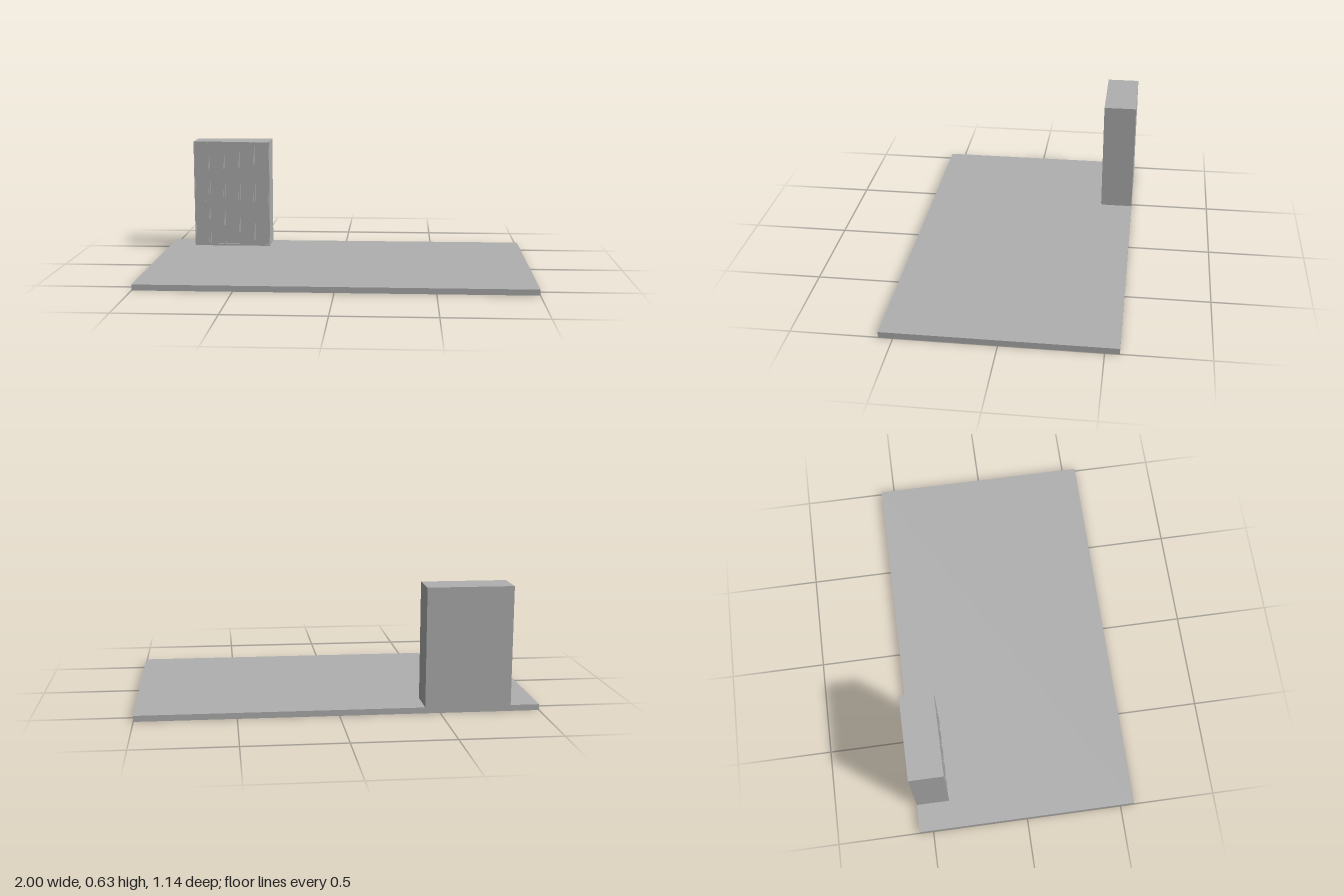
import * as THREE from 'three';

export function createModel() {
  const model = new THREE.Group();
  const grey = new THREE.MeshStandardMaterial({ color: 0xb0b0b0 });
  grey.name = 'plainGrey';

  // Box given by its lower and upper limits on each axis
  function box(parent, name, x0, x1, y0, y1, z0, z1) {
    const mesh = new THREE.Mesh(new THREE.BoxGeometry(x1 - x0, y1 - y0, z1 - z0), grey);
    mesh.name = name;
    mesh.position.set((x0 + x1) / 2, (y0 + y1) / 2, (z0 + z1) / 2);
    parent.add(mesh);
  }

  // Floor slab
  box(model, 'floor', -1, 1, 0, 0.03, -0.571, 0.571);

  // Row of five narrow lockers along the back edge
  const count = 5, left = -0.855, pitch = 0.086, wall = 0.004;
  const bottom = 0.036, top = 0.63, back = -0.571, front = -0.398;
  for (let i = 0; i < count; i++) {
    const locker = new THREE.Group();
    locker.name = 'locker' + (i + 1);
    const x0 = left + i * pitch, x1 = x0 + pitch;

    // Plinth and carcass
    box(locker, 'plinth', x0, x1, 0.03, bottom, back, front - 0.004);
    box(locker, 'leftWall', x1 - wall, x1, bottom, top, back, front);
    box(locker, 'rightWall', x0, x0 + wall, bottom, top, back, front);
    box(locker, 'topPanel', x0 + wall, x1 - wall, top - wall, top, back, front);
    box(locker, 'bottomPanel', x0 + wall, x1 - wall, bottom, bottom + wall, back, front);
    box(locker, 'backPanel', x0 + wall, x1 - wall, bottom + wall, top - wall, back, back + wall);

    // Door set just inside the frame, with a small latch
    box(locker, 'door', x0 + wall + 0.001, x1 - wall - 0.001,
      bottom + wall + 0.001, top - wall - 0.001, front - 0.008, front - 0.002);
    box(locker, 'latch', x1 - 0.026, x1 - 0.012, 0.286, 0.29, front - 0.002, front);
    model.add(locker);
  }
  return model;
}
